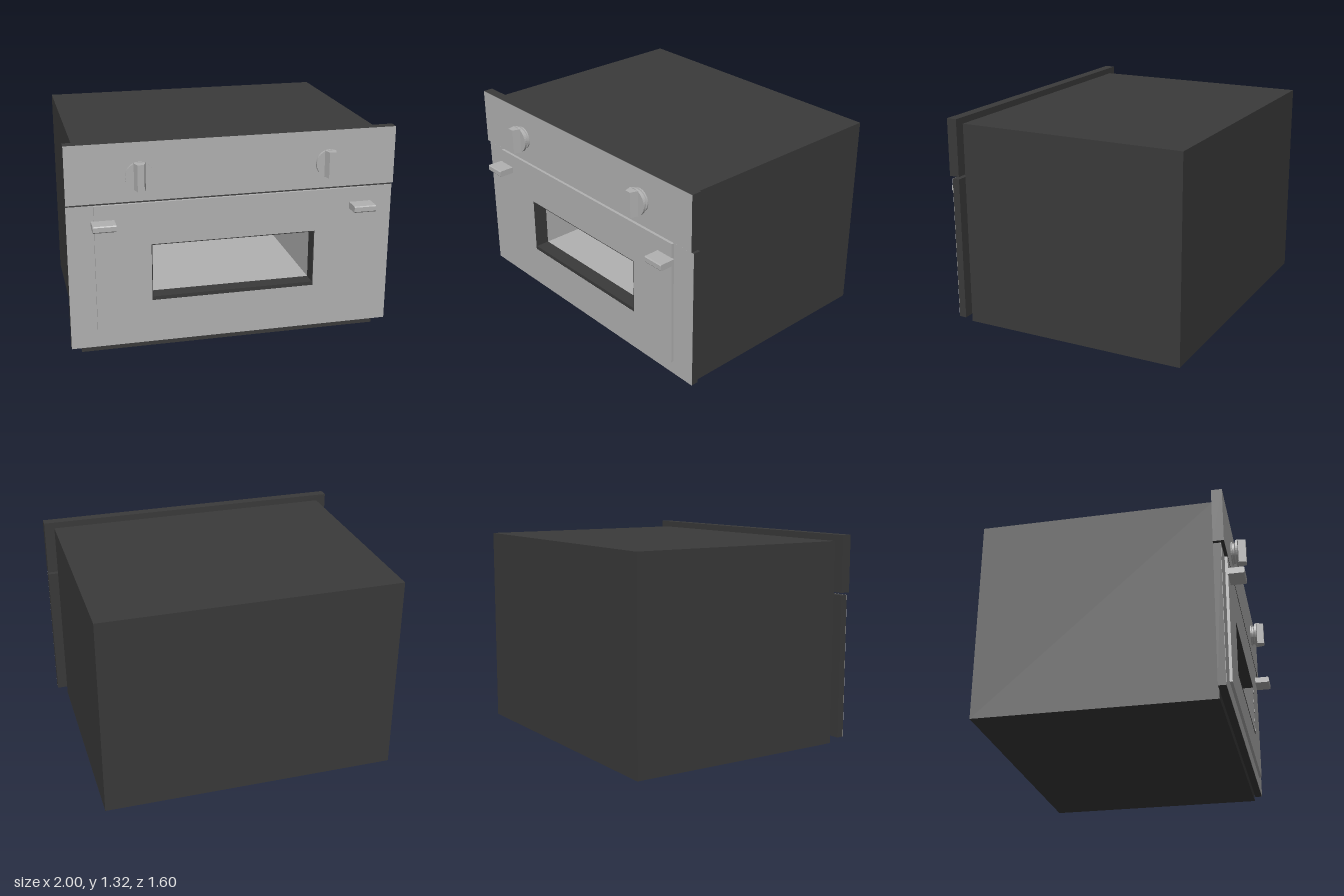
import * as THREE from 'three';

const dark = new THREE.MeshStandardMaterial({ color: 0x3a3a3a });
dark.name = 'dark enamel';
const steel = new THREE.MeshStandardMaterial({ color: 0xb2b2b2 });
steel.name = 'brushed steel';

// window opening shared by body, door and plate
const WIN = [-0.505, 0.505, 0.33, 0.69];

function rect(path, [x0, x1, y0, y1]) {
  path.moveTo(x0, y0);
  path.lineTo(x1, y0);
  path.lineTo(x1, y1);
  path.lineTo(x0, y1);
  path.closePath();
  return path;
}

function mesh(name, geometry, material) {
  const m = new THREE.Mesh(geometry, material);
  m.name = name;
  return m;
}

// rectangular slab from z0 to z1 with a rectangular hole
function frame(name, outer, hole, z0, z1, material) {
  const shape = rect(new THREE.Shape(), outer);
  shape.holes.push(rect(new THREE.Path(), hole));
  const g = new THREE.ExtrudeGeometry(shape, { depth: z1 - z0, bevelEnabled: false });
  return mesh(name, g.translate(0, 0, z0), material);
}

function block(name, [x0, x1, y0, y1], z0, z1, material) {
  const g = new THREE.BoxGeometry(x1 - x0, y1 - y0, z1 - z0);
  return mesh(name, g.translate((x0 + x1) / 2, (y0 + y1) / 2, (z0 + z1) / 2), material);
}

function makeKnob() {
  const knob = new THREE.Group();
  knob.name = 'knob';
  // stepped round base, turned to face forward
  const profile = [[0, 0], [0.072, 0], [0.072, 0.008], [0.064, 0.01], [0.064, 0.022],
    [0.084, 0.03], [0.084, 0.044], [0, 0.044]].map(([r, z]) => new THREE.Vector2(r, z));
  const base = new THREE.LatheGeometry(profile, 40).toNonIndexed();
  base.rotateX(Math.PI / 2);
  base.computeVertexNormals();
  knob.add(mesh('knobBase', base, steel));
  // tapered vertical grip
  const taper = new THREE.Shape();
  taper.moveTo(-0.035, -0.04);
  taper.lineTo(0.035, -0.04);
  taper.lineTo(0.02, -0.09);
  taper.lineTo(-0.02, -0.09);
  taper.closePath();
  const grip = new THREE.ExtrudeGeometry(taper, { depth: 0.16, bevelEnabled: false });
  grip.translate(0, 0, -0.08).rotateX(-Math.PI / 2);
  // the extrusion now runs along y, with the narrow edge forward
  grip.computeBoundingBox();
  if (grip.boundingBox.max.z < 0.01) grip.rotateX(Math.PI);
  knob.add(mesh('knobGrip', grip, steel));
  return knob;
}

function makeHandle() {
  // side profile with softened front edges, extruded across x
  const p = new THREE.Shape();
  p.moveTo(0, -0.02);
  p.lineTo(0.095, -0.02);
  p.lineTo(0.1, -0.014);
  p.lineTo(0.1, 0.014);
  p.lineTo(0.095, 0.02);
  p.lineTo(0, 0.02);
  p.closePath();
  const g = new THREE.ExtrudeGeometry(p, { depth: 0.137, bevelEnabled: false });
  return mesh('handle', g.translate(0, 0, -0.0685).rotateY(-Math.PI / 2), steel);
}

export function createModel() {
  const oven = new THREE.Group();
  oven.name = 'oven';

  // body shell, closed at the back
  oven.add(frame('body', [-0.935, 0.935, 0, 1.28], WIN, -0.8, 0.637, dark));
  oven.add(block('cavityBack', WIN, -0.8, -0.76, dark));

  // steel lining of the cavity
  const [x0, x1, y0, y1] = WIN;
  const t = 0.005;
  oven.add(block('cavityFloor', [x0, x1, y0, 0.353], -0.76, 0.61, steel));
  oven.add(block('cavityCeiling', [x0, x1, y1 - t, y1], -0.76, 0.61, steel));
  oven.add(block('cavityWallRight', [x0, x0 + t, 0.353, y1 - t], -0.76, 0.61, steel));
  oven.add(block('cavityWallLeft', [x1 - t, x1, 0.353, y1 - t], -0.76, 0.61, steel));

  // door: dark core, steel face and raised inner plate
  const door = new THREE.Group();
  door.name = 'door';
  const outer = [-1, 1, 0.05, 0.95];
  door.add(frame('doorCore', outer, WIN, 0.637, 0.683, dark));
  door.add(frame('doorFace', outer, WIN, 0.683, 0.685, steel));
  door.add(frame('doorPlate', [-0.84, 0.84, 0.138, 0.95], WIN, 0.685, 0.702, steel));
  door.add(frame('windowFrame', WIN, [x0 + t, x1 - t, 0.353, y1 - t], 0.61, 0.701, dark));
  oven.add(door);

  // control panel: steel only on its front face
  oven.add(block('controlPanel', [-1, 1, 0.965, 1.32], 0.637, 0.702,
    [dark, dark, dark, dark, steel, dark]));

  // paired handles and knobs
  for (const side of [-1, 1]) {
    const handle = makeHandle();
    handle.position.set(side * 0.79, 0.84, 0.7);
    oven.add(handle);
    const knob = makeKnob();
    knob.position.set(side * 0.573, 1.128, 0.702);
    oven.add(knob);
  }
  return oven;
}
